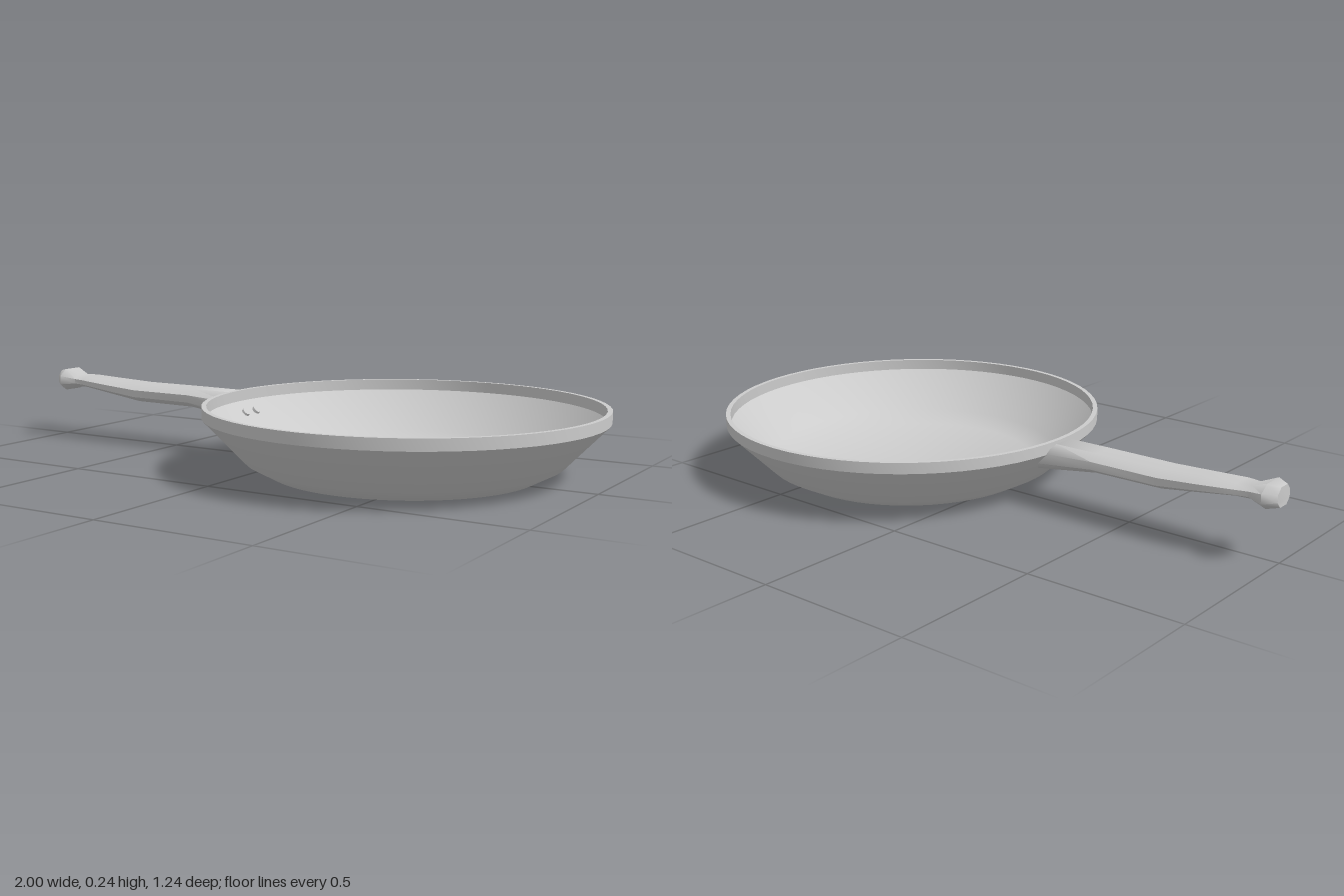
import * as THREE from 'three';
import { toCreasedNormals } from 'three/addons/utils/BufferGeometryUtils.js';

const material = new THREE.MeshStandardMaterial({ color: 0xcccccc });
const PAN_X = 0.38;

function addMesh(parent, name, geometry) {
  const mesh = new THREE.Mesh(geometry, material);
  mesh.name = name;
  parent.add(mesh);
  return mesh;
}

// Loft of octagonal sections along x: [x, bottom, top, half width]
function handleGeometry() {
  const sections = [
    [-1.0, 0.17, 0.23, 0.035],
    [-0.965, 0.163, 0.237, 0.066],
    [-0.915, 0.178, 0.217, 0.045],
    [-0.87, 0.179, 0.217, 0.059],
    [-0.75, 0.163, 0.211, 0.065],
    [-0.63, 0.147, 0.206, 0.068],
    [-0.4, 0.145, 0.206, 0.068],
    [-0.18, 0.113, 0.205, 0.068],
  ];
  const octagon = [[1, -0.4], [1, 0.4], [0.52, 1], [-0.52, 1], [-1, 0.4], [-1, -0.4], [-0.52, -1], [0.52, -1]];
  const n = octagon.length, last = sections.length - 1;
  const pos = [], index = [];
  sections.forEach(([x, bottom, top, w], i) => {
    for (const [u, v] of octagon) {
      const y = (bottom + top) / 2 + v * (top - bottom) / 2;
      // the inner end leans back to follow the sloping wall of the pan
      pos.push(i === last ? x - (y - bottom) * 0.75 : x, y, u * w);
    }
  });
  for (let i = 0; i < last; i++) {
    for (let k = 0; k < n; k++) {
      const a = i * n + k, b = i * n + (k + 1) % n;
      index.push(a, a + n, b, b, a + n, b + n);
    }
  }
  for (let k = 1; k < n - 1; k++) {
    index.push(0, k, k + 1);
    index.push(last * n, last * n + k + 1, last * n + k);
  }
  const geometry = new THREE.BufferGeometry();
  geometry.setAttribute('position', new THREE.Float32BufferAttribute(pos, 3));
  geometry.setIndex(index);
  return toCreasedNormals(geometry, 0.95);
}

export function createModel() {
  const model = new THREE.Group();
  model.name = 'fryingPan';

  // Bowl: outside from the base up, over the rim, then down the inside
  const profile = [
    [0, 0], [0.415, 0], [0.49, 0.04], [0.62, 0.175], [0.62, 0.21],
    [0.605, 0.21], [0.605, 0.175], [0.478, 0.05], [0.41, 0.015], [0, 0.015],
  ].map(([r, y]) => new THREE.Vector2(r, y));
  const bowl = addMesh(model, 'bowl', toCreasedNormals(new THREE.LatheGeometry(profile, 64), 0.6));
  bowl.position.x = PAN_X;

  addMesh(model, 'handle', handleGeometry());

  // Two rivets on the inner wall, square to its slope
  for (const side of [-1, 1]) {
    const rivet = addMesh(model, 'rivet', toCreasedNormals(new THREE.CylinderGeometry(0.013, 0.016, 0.016, 16), 0.6));
    rivet.position.set(-0.19, 0.141, side * 0.03);
    rivet.rotation.z = -Math.PI / 4;
  }
  return model;
}
